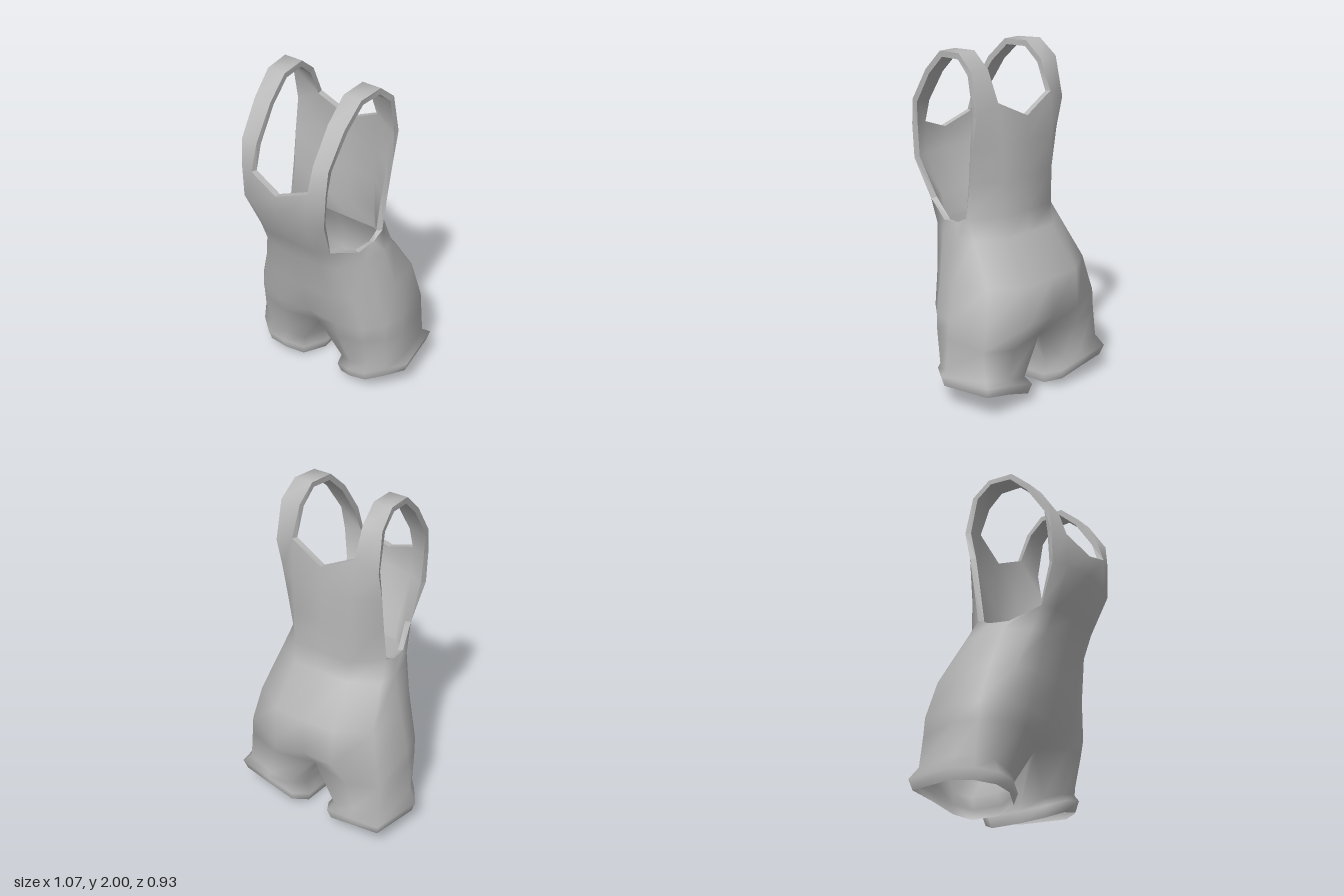
import * as THREE from 'three';
import { mergeVertices } from 'three/addons/utils/BufferGeometryUtils.js';

// Half cross-sections [x, y, z], running front centre -> side -> back centre.
const flat = (y, pts) => pts.map(([x, z]) => [x, y, z]);

// Leg: closed rings whose last two points lie on the inner thigh
const thigh = [
  [0.14, 0.14, 0.03], [0.24, 0.18, 0.085], [0.36, 0.21, 0.08], [0.45, 0.22, 0.02], [0.498, 0.23, -0.08],
  [0.46, 0.23, -0.36], [0.3, 0.2, -0.385], [0.16, 0.17, -0.37], [0.11, 0.14, -0.28], [0.105, 0.13, -0.1]];
const cuff = [
  [0.13, 0.09, 0.06], [0.24, 0.13, 0.115], [0.36, 0.15, 0.115], [0.46, 0.17, 0.03], [0.538, 0.175, -0.08],
  [0.49, 0.19, -0.405], [0.3, 0.165, -0.415], [0.13, 0.12, -0.4], [0.07, 0.08, -0.3], [0.065, 0.07, -0.1]];
const cuffEdge = cuff.map(([x, y, z]) => [0.3 + (x - 0.3) * 0.92, y - 0.063, -0.16 + (z + 0.16) * 0.92]);
const legTop = [
  [0, 0.375, 0.08], [0.2, 0.42, 0.165], [0.36, 0.42, 0.13], [0.45, 0.42, 0.04], [0.488, 0.42, -0.09],
  [0.458, 0.4, -0.34], [0.26, 0.37, -0.385], [0, 0.37, -0.33], [0.038, 0.345, -0.2], [0.038, 0.345, 0]];

// The left cuff sits a little higher on the outside than the right one
const legRows = side => [
  ...[cuffEdge, cuff].map(ring => ring.map(([x, y, z]) => [x, y + side * 0.065 * (x - 0.1), z])),
  thigh, legTop];

// Flat strip between the legs, from the centre line out to the thigh
const gussetEdge = [legTop[0], legTop[9], legTop[8], legTop[7]];
const gussetRows = [gussetEdge.map(([, y, z]) => [0, y, z]), gussetEdge];

// Hips and waist up to the armhole edge
const torsoRows = [
  legTop.slice(0, 8),
  flat(0.52, [[0, 0.18], [0.2, 0.19], [0.36, 0.15], [0.45, 0.04], [0.478, -0.09], [0.443, -0.345], [0.2, -0.45], [0, -0.445]]),
  flat(0.74, [[0, 0.24], [0.18, 0.235], [0.31, 0.18], [0.395, 0.06], [0.428, -0.08], [0.39, -0.31], [0.2, -0.425], [0, -0.43]]),
  flat(0.97, [[0, 0.295], [0.17, 0.285], [0.25, 0.24], [0.335, 0.1], [0.362, -0.05], [0.342, -0.16], [0.18, -0.255], [0, -0.255]]),
  [[0, 1.1, 0.345], [0.16, 1.1, 0.34], [0.24, 1.1, 0.3], [0.305, 1.03, 0.12], [0.322, 1.045, 0],
    [0.325, 1.08, -0.08], [0.19, 1.1, -0.24], [0, 1.1, -0.24]]];
const armhole = torsoRows[4];

// Bib in front, panel behind
const bibRows = [
  armhole.slice(0, 3),
  [[0, 1.33, 0.46], [0.175, 1.33, 0.44], [0.272, 1.33, 0.4]],
  [[0, 1.46, 0.465], [0.187, 1.53, 0.435], [0.282, 1.53, 0.4]]];
const backRows = [
  armhole.slice(5),
  [[0.328, 1.3, -0.115], [0.19, 1.3, -0.24], [0, 1.3, -0.24]],
  [[0.335, 1.5, -0.145], [0.19, 1.5, -0.24], [0, 1.5, -0.24]],
  [[0.337, 1.68, -0.185], [0.205, 1.74, -0.215], [0, 1.64, -0.235]]];

// Shoulder strap from the bib corner over to the back panel: y, z, inner x, outer x
const strapRows = [
  bibRows[2].slice(1),
  ...[[1.68, 0.385, 0.188, 0.287], [1.87, 0.26, 0.19, 0.295], [1.99, 0.13, 0.193, 0.305],
    [2, -0.03, 0.2, 0.316], [1.91, -0.14, 0.205, 0.328]]
    .map(([y, z, inner, outer]) => [[inner, y, z], [outer, y, z]]),
  [backRows[3][1], backRows[3][0]]];

// Adds the quads between successive rows on one side of the body
function skin(out, rows, side, closed = false) {
  for (let r = 0; r + 1 < rows.length; r++) {
    const n = rows[r].length;
    for (let c = 0; c < (closed ? n : n - 1); c++) {
      const d = (c + 1) % n;
      const quad = [rows[r][c], rows[r][d], rows[r + 1][d], rows[r + 1][c]];
      if (side < 0) quad.reverse();
      for (const k of [0, 1, 2, 0, 2, 3]) out.push(quad[k][0] * side, quad[k][1], quad[k][2]);
    }
  }
}

function makeGeometry(positions, index) {
  const g = new THREE.BufferGeometry();
  g.setAttribute('position', new THREE.Float32BufferAttribute(positions, 3));
  if (index) g.setIndex(index);
  return g;
}

export function createModel() {
  const group = new THREE.Group();
  group.name = 'dungarees';
  const cloth = new THREE.MeshStandardMaterial({ color: 0xb8b8b8, side: THREE.DoubleSide });
  cloth.name = 'grey cloth';
  const add = (name, geometry) => {
    geometry.computeVertexNormals();
    const mesh = new THREE.Mesh(geometry, cloth);
    mesh.name = name;
    group.add(mesh);
  };

  // Outer cloth, both halves welded
  const soup = [];
  for (const side of [1, -1]) {
    skin(soup, legRows(side), side, true);
    for (const rows of [gussetRows, torsoRows, bibRows, backRows, strapRows]) skin(soup, rows, side);
  }
  const outer = mergeVertices(makeGeometry(soup), 1e-4);
  add('outerCloth', outer);

  // Lining of everything above the waist, set inward by the cloth thickness
  const p = outer.attributes.position, nrm = outer.attributes.normal;
  const inside = [];
  for (let i = 0; i < p.count; i++) {
    inside.push(p.getX(i) - 0.035 * nrm.getX(i), p.getY(i) - 0.035 * nrm.getY(i), p.getZ(i) - 0.035 * nrm.getZ(i));
  }
  const index = Array.from(outer.index.array);
  const edges = new Set();
  const lining = [];
  for (let t = 0; t < index.length; t += 3) {
    const tri = index.slice(t, t + 3);
    tri.forEach((a, k) => edges.add(a + '_' + tri[(k + 1) % 3]));
    if (tri.some(i => p.getY(i) > 1)) lining.push(...tri.reverse());
  }
  add('lining', makeGeometry(inside, lining));

  // Hems close the open edges of the neck and armholes
  const hem = [];
  for (const e of edges) {
    const [a, b] = e.split('_').map(Number);
    if (edges.has(b + '_' + a) || p.getY(a) < 1) continue;
    const o = i => [p.getX(i), p.getY(i), p.getZ(i)];
    const n = i => inside.slice(i * 3, i * 3 + 3);
    hem.push(...o(b), ...o(a), ...n(a), ...o(b), ...n(a), ...n(b));
  }
  add('hems', makeGeometry(hem));

  // Slight twist and lean of the stance
  group.rotation.set(0, -0.085, -0.008);
  group.position.x = -0.003;
  return group;
}
